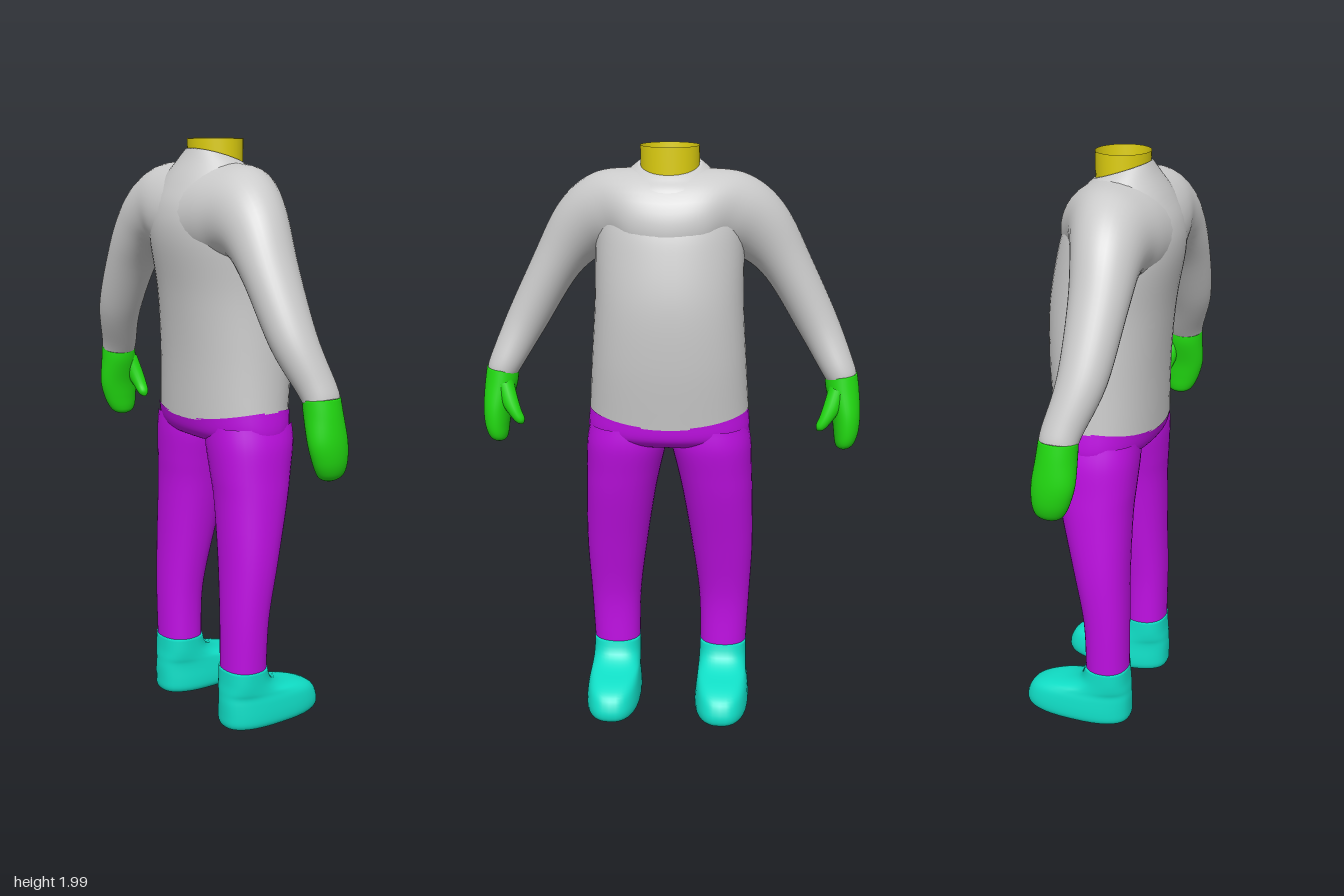
import * as THREE from 'three';

const material = (color) => new THREE.MeshStandardMaterial({ color });
const shirt = material(0xcccccc), cloth = material(0xc010e4), glove = material(0x22dd11),
  shoeMat = material(0x10e0c8), skin = material(0xe0d010);
skin.side = THREE.DoubleSide;

// Catmull-Rom blend of one number
const blend = (a, b, c, d, t) =>
  0.5 * (2 * b + (c - a) * t + (2 * a - 5 * b + 4 * c - d) * t * t + (3 * b - a - 3 * c + d) * t * t * t);

// Smooth skin over sections listed from top to bottom:
// [x, y, z, radius across, radius in z, tilt in degrees, raise at sides, raise at back]
function loft(name, mat, sections, { power = 2, capStart = false, capEnd = false, steps = 6, sides = 36 } = {}) {
  const rows = [];
  const at = (i) => sections[Math.min(Math.max(i, 0), sections.length - 1)];
  for (let i = 0; i < sections.length - 1; i++)
    for (let s = 0; s < steps; s++)
      rows.push(Array.from({ length: 8 }, (_, k) =>
        blend(at(i - 1)[k] ?? 0, at(i)[k] ?? 0, at(i + 1)[k] ?? 0, at(i + 2)[k] ?? 0, s / steps)));
  rows.push(Array.from({ length: 8 }, (_, k) => at(sections.length - 1)[k] ?? 0));

  const pos = [], index = [];
  const round = (v) => Math.sign(v) * Math.abs(v) ** (2 / power);
  for (const [x, y, z, a, b, tilt, side, back] of rows) {
    const r = THREE.MathUtils.degToRad(tilt);
    for (let j = 0; j < sides; j++) {
      const q = (j / sides) * Math.PI * 2, c = round(Math.cos(q)), s = round(Math.sin(q));
      pos.push(x + a * c * Math.cos(r), y + a * c * Math.sin(r) + side * c * c + back * s, z + b * s);
    }
  }
  for (let i = 0; i < rows.length - 1; i++)
    for (let j = 0; j < sides; j++) {
      const k = (j + 1) % sides, p = i * sides, n = p + sides;
      index.push(p + j, p + k, n + j, p + k, n + k, n + j);
    }
  const cap = (row, flip) => {
    const mid = pos.length / 3, p = row * sides;
    pos.push(...rows[row].slice(0, 3));
    for (let j = 0; j < sides; j++) {
      const k = (j + 1) % sides;
      index.push(mid, p + (flip ? k : j), p + (flip ? j : k));
    }
  };
  if (capStart) cap(0, true);
  if (capEnd) cap(rows.length - 1, false);

  const g = new THREE.BufferGeometry();
  g.setAttribute('position', new THREE.Float32BufferAttribute(pos, 3));
  g.setIndex(index);
  g.computeVertexNormals();
  const mesh = new THREE.Mesh(g, mat);
  mesh.name = name;
  return mesh;
}

const mirrored = (sections, m) =>
  sections.map(([x, y, z, a, b, tilt = 0]) => [m * x, y, z, a, b, m * tilt]);

export function createModel() {
  const model = new THREE.Group();
  model.name = 'headlessFigure';

  // Neck ring, open at the top
  model.add(loft('neck', skin, [
    [0, 2, 0.04, 0.098, 0.09],
    [0, 1.93, 0.04, 0.097, 0.088, 0, 0, 0.03],
  ]));

  // Sweater body, with a sloping collar and a hem raised at the sides
  model.add(loft('sweaterBody', shirt, [
    [0, 1.94, 0.04, 0.104, 0.092, 0, 0, 0.03],
    [0, 1.915, 0.042, 0.14, 0.11, 0, 0, 0.02],
    [0, 1.86, 0.048, 0.2, 0.15],
    [0, 1.78, 0.05, 0.238, 0.182],
    [0, 1.68, 0.038, 0.248, 0.2],
    [0, 1.5, 0.008, 0.25, 0.2],
    [0, 1.3, 0, 0.262, 0.19],
    [0, 1.085, 0.008, 0.273, 0.176, 0, 0.035],
  ], { power: 2.15, capStart: true, sides: 48 }));

  // Sleeves and shoulders, one sweep from wrist to wrist
  const sleeve = [
    [0.12, 1.75, 0.05, 0.175, 0.178, 85],
    [0.21, 1.755, 0.075, 0.155, 0.138, 70],
    [0.3, 1.715, 0.098, 0.118, 0.112, 50],
    [0.39, 1.6, 0.112, 0.085, 0.094, 31],
    [0.5, 1.4, 0.106, 0.071, 0.078, 28],
    [0.57, 1.26, 0.07, 0.058, 0.066, 20],
    [0.585, 1.225, 0.064, 0.054, 0.062, 12],
  ];
  const otherSleeve = sleeve.map(([x, y, z, a, b, t]) => [-x, y, z, a, b, 180 - t]).reverse();
  model.add(loft('sleevesAndShoulders', shirt,
    [...otherSleeve, [0, 1.735, 0.042, 0.19, 0.192, 90], ...sleeve], { capStart: true, capEnd: true }));

  // Hips, joining the sweater hem to both legs
  model.add(loft('hips', cloth, [
    [0, 1.09, 0.008, 0.272, 0.175, 0, 0.035],
    [0, 1.04, 0.005, 0.277, 0.163, 0, 0.012],
    [0, 1.01, 0.005, 0.262, 0.125],
    [0, 0.995, 0.005, 0.2, 0.06],
  ], { power: 2.3, capEnd: true, sides: 48 }));

  for (const [side, m] of [['left', 1], ['right', -1]]) {
    model.add(loft(side + 'Leg', cloth, mirrored([
      [0.14, 1.07, 0.005, 0.132, 0.148],
      [0.146, 1, 0.005, 0.138, 0.148],
      [0.159, 0.9, 0.011, 0.129, 0.135],
      [0.171, 0.8, 0.018, 0.121, 0.121],
      [0.188, 0.6, 0.041, 0.107, 0.096],
      [0.196, 0.4, 0.062, 0.09, 0.078],
      [0.194, 0.215, 0.065, 0.083, 0.075],
    ], m), { power: 2.2 }));

    // Shoe, stacked from ankle to sole
    model.add(loft(side + 'Shoe', shoeMat, mirrored([
      [0.194, 0.222, 0.065, 0.084, 0.076],
      [0.194, 0.175, 0.058, 0.085, 0.086],
      [0.194, 0.145, 0.034, 0.086, 0.114],
      [0.194, 0.125, -0.008, 0.088, 0.158],
      [0.195, 0.1, -0.033, 0.092, 0.185],
      [0.195, 0.06, -0.044, 0.096, 0.196],
      [0.195, 0.03, -0.045, 0.095, 0.196],
      [0.195, 0.014, -0.043, 0.086, 0.186],
      [0.195, 0.01, -0.043, 0.074, 0.172],
    ], m), { power: 2.5, capStart: true, capEnd: true, steps: 4 }));

    // Mitten hand with a separate thumb
    const hand = new THREE.Group();
    hand.name = side + 'Hand';
    hand.add(loft('mitten', glove, mirrored([
      [0.586, 1.232, 0.064, 0.055, 0.063, 5],
      [0.592, 1.18, 0.06, 0.057, 0.066],
      [0.606, 1.1, 0.054, 0.05, 0.071],
      [0.609, 1.04, 0.046, 0.044, 0.064],
      [0.606, 1, 0.04, 0.036, 0.052],
      [0.602, 0.98, 0.038, 0.025, 0.036],
      [0.6, 0.97, 0.038, 0.006, 0.01],
    ], m), { capStart: true, capEnd: true }));
    hand.add(loft('thumb', glove, mirrored([
      [0.575, 1.19, 0.03, 0.03, 0.036, -20],
      [0.557, 1.13, 0.012, 0.03, 0.03, -30],
      [0.535, 1.085, 0.001, 0.022, 0.024, -30],
      [0.518, 1.058, -0.002, 0.016, 0.018, -30],
      [0.51, 1.046, -0.002, 0.004, 0.005, -30],
    ], m), { capEnd: true, sides: 20 }));
    model.add(hand);
  }
  return model;
}
